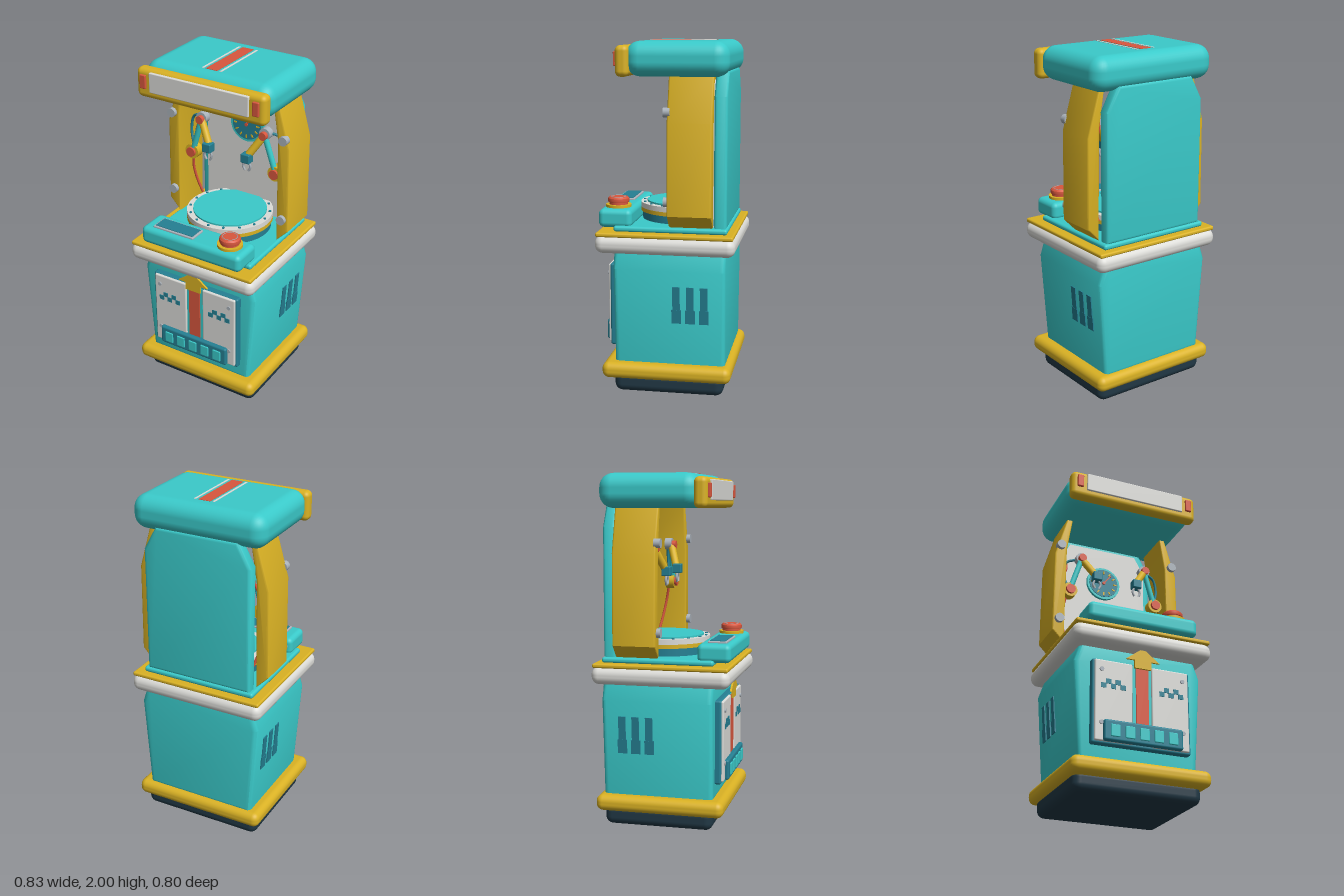
import * as THREE from 'three';
import { RoundedBoxGeometry } from 'three/addons/geometries/RoundedBoxGeometry.js';
import { toCreasedNormals } from 'three/addons/utils/BufferGeometryUtils.js';

const paint = (name, color) => {
  const m = new THREE.MeshStandardMaterial({ color });
  m.name = name;
  return m;
};

export function createModel() {
  const teal = paint('teal', 0x3acaca), yellow = paint('yellow', 0xdab224);
  const white = paint('off white', 0xdcdcd8), red = paint('red', 0xd9573e);
  const petrol = paint('dark teal', 0x258093), navy = paint('navy', 0x213845);
  const grey = paint('grey', 0xaab2ba);
  const root = new THREE.Group();
  root.name = 'arcadeCabinet';

  const add = (name, geo, mat, parent = root) => {
    const m = new THREE.Mesh(geo, mat);
    m.name = name;
    parent.add(m);
    return m;
  };
  // Box given by its extents; r rounds the edges
  const box = (name, mat, [x0, x1], [y0, y1], [z0, z1], r = 0, parent = root) => {
    const s = [x1 - x0, y1 - y0, z1 - z0];
    const g = r ? new RoundedBoxGeometry(...s, 4, r) : new THREE.BoxGeometry(...s);
    const m = add(name, g, mat, parent);
    m.position.set((x0 + x1) / 2, (y0 + y1) / 2, (z0 + z1) / 2);
    return m;
  };
  // Front outline extruded from z0 to z1 with a bevel inside the outline
  const slab = (name, mat, pts, z0, z1, b = 0, parent = root) => {
    const shape = new THREE.Shape(pts.map(p => new THREE.Vector2(...p)));
    const g = new THREE.ExtrudeGeometry(shape, {
      depth: z1 - z0 - 2 * b, bevelEnabled: b > 0, bevelThickness: b,
      bevelSize: b, bevelOffset: -b, bevelSegments: 3,
    });
    g.translate(0, 0, z0 + b);
    return add(name, toCreasedNormals(g, 0.6), mat, parent);
  };
  const mirrored = half => [...half, ...half.map(([x, y]) => [-x, y]).reverse()];
  // Upright disc, and disc facing the front
  const disc = (name, mat, r, x, z, y0, y1, parent = root) => {
    const m = add(name, new THREE.CylinderGeometry(r, r, y1 - y0, 40), mat, parent);
    m.position.set(x, (y0 + y1) / 2, z);
    return m;
  };
  const dial = (name, mat, r, x, y, z0, z1, parent = root) => {
    const m = add(name, new THREE.CylinderGeometry(r, r, z1 - z0, 28), mat, parent);
    m.rotation.x = Math.PI / 2;
    m.position.set(x, y, (z0 + z1) / 2);
    return m;
  };
  const rod = (name, mat, a, b, r, parent) => {
    const p = new THREE.Vector3(...a), d = new THREE.Vector3(...b).sub(p);
    const m = add(name, new THREE.CylinderGeometry(r, r, d.length(), 16), mat, parent);
    m.position.copy(p).addScaledVector(d, 0.5);
    m.quaternion.setFromUnitVectors(new THREE.Vector3(0, 1, 0), d.normalize());
    return m;
  };
  const cable = (name, mat, pts, r, parent) => add(name, new THREE.TubeGeometry(
    new THREE.CatmullRomCurve3(pts.map(p => new THREE.Vector3(...p))), 24, r, 8), mat, parent);

  // Plinth and lower cabinet
  box('foot', navy, [-0.37, 0.37], [0, 0.12], [-0.33, 0.3], 0.045);
  box('baseBumper', yellow, [-0.405, 0.405], [0.085, 0.178], [-0.375, 0.367], 0.04);
  slab('lowerCabinet', teal, mirrored([[0.34, 0.16], [0.38, 0.73], [0.343, 0.84]]), -0.34, 0.3, 0.03);
  box('counter', white, [-0.415, 0.415], [0.82, 0.92], [-0.395, 0.4], 0.045);
  box('counterPlate', yellow, [-0.405, 0.405], [0.915, 0.94], [-0.385, 0.392], 0.01);
  box('deckPlate', teal, [-0.35, 0.35], [0.938, 0.97], [-0.345, 0.3], 0.014);

  // Side vents, tilted with the cabinet wall
  for (const s of [-1, 1]) for (const z of [-0.063, -0.142, -0.22]) {
    const vent = new THREE.Group();
    vent.name = 'sideVent';
    vent.position.set(s * 0.3655, 0.53, z);
    vent.rotation.z = -s * 0.07;
    root.add(vent);
    box('slot', petrol, [-0.006, 0.006], [-0.105, 0.11], [-0.021, 0.021], 0, vent);
    box('slotFoot', petrol, [-0.007, 0.007], [-0.105, -0.025], [-0.027, 0.027], 0, vent);
  }

  // Front door
  box('doorFrame', petrol, [-0.29, 0.29], [0.255, 0.738], [0.28, 0.335], 0.012);
  box('doorColumn', teal, [-0.055, 0.055], [0.275, 0.73], [0.325, 0.339]);
  box('doorStripe', red, [-0.037, 0.037], [0.3, 0.73], [0.335, 0.345]);
  for (const s of [-1, 1]) {
    const panel = box('doorPanel', white, [-0.11, 0.11], [0.268, 0.732], [0.32, 0.347], 0.008);
    panel.position.x = s * 0.167;
    for (const y of [0.675, 0.37]) dial('doorBolt', grey, 0.012, s * 0.24, y, 0.34, 0.354);
    for (let i = 0; i < 5; i++) {
      const x = s * (0.115 + i * 0.0285), y = i % 2 ? 0.608 : 0.582;
      box('pixel', petrol, [x - 0.015, x + 0.015], [y - 0.014, y + 0.014], [0.345, 0.351]);
    }
  }
  slab('arrow', yellow, mirrored([[0.05, 0.71], [0.05, 0.757], [0.1, 0.757], [0.001, 0.832]]), 0.347, 0.358);
  box('keyBar', petrol, [-0.23, 0.23], [0.268, 0.385], [0.335, 0.37], 0.012);
  for (let i = -2; i <= 2; i++)
    box('key', teal, [i * 0.084 - 0.027, i * 0.084 + 0.027], [0.29, 0.358], [0.365, 0.377], 0.004);

  // Control deck with screen and push button
  box('controlDeck', teal, [-0.33, 0.33], [0.955, 1.06], [0.2, 0.392], 0.03);
  box('screenFrame', grey, [-0.264, 0.008], [1.05, 1.07], [0.25, 0.36], 0.006);
  box('screen', petrol, [-0.253, -0.003], [1.066, 1.073], [0.261, 0.349]);
  disc('buttonBase', yellow, 0.073, 0.215, 0.297, 1.055, 1.075);
  disc('buttonCollar', red, 0.054, 0.215, 0.297, 1.075, 1.09);
  const cap = [[0, 1.088], [0.06, 1.088], [0.062, 1.095], [0.06, 1.11], [0.052, 1.118], [0, 1.118]];
  const button = add('buttonCap', toCreasedNormals(new THREE.LatheGeometry(
    cap.map(p => new THREE.Vector2(...p)), 32), 0.6), red);
  button.position.set(0.215, 0, 0.297);
  const halo = add('buttonRing', new THREE.TorusGeometry(0.042, 0.002, 6, 32), grey);
  halo.rotation.x = Math.PI / 2;
  halo.position.set(0.215, 1.118, 0.297);

  // Turntable
  const cz = -0.05;
  disc('turntableBase', petrol, 0.245, 0, cz, 0.965, 1.02);
  disc('turntableBand', yellow, 0.255, 0, cz, 1.015, 1.038);
  disc('turntableRing', white, 0.255, 0, cz, 1.038, 1.068);
  disc('turntableTop', teal, 0.218, 0, cz, 1.06, 1.078);
  for (let i = 0; i < 16; i++) {
    const a = (i / 16) * Math.PI * 2;
    disc('turntableStud', petrol, 0.008, Math.cos(a) * 0.237, cz + Math.sin(a) * 0.237, 1.06, 1.073);
  }

  // Back shell and inner wall
  slab('backShell', teal, mirrored([[0.327, 0.965], [0.327, 1.7], [0.25, 1.84]]), -0.34, -0.265, 0.02);
  slab('backPanel', white, mirrored([[0.283, 0.97], [0.283, 1.67], [0.222, 1.785]]), -0.27, -0.252);

  // Gauge
  dial('gaugeRim', teal, 0.11, 0, 1.54, -0.255, -0.235);
  dial('gaugeFace', petrol, 0.095, 0, 1.54, -0.25, -0.231);
  for (let i = 0; i < 12; i++) {
    const a = (i / 12) * Math.PI * 2;
    const tick = add('gaugeTick', new THREE.BoxGeometry(0.02, 0.008, 0.006), yellow);
    tick.position.set(Math.cos(a) * 0.075, 1.54 + Math.sin(a) * 0.075, -0.23);
    tick.rotation.z = a;
  }
  const needle = add('gaugeNeedle', new THREE.BoxGeometry(0.085, 0.008, 0.006), red);
  needle.position.set(0.02, 1.565, -0.227);
  needle.rotation.z = 0.9;
  dial('gaugeHub', red, 0.01, 0, 1.54, -0.235, -0.223);

  // Side walls, arms and cables on each side
  for (const s of [-1, 1]) {
    const wall = [[0.333, 0.972], [0.405, 1.045], [0.4, 1.56], [0.325, 1.82], [0.29, 1.82], [0.325, 1.6]];
    slab('sideWall', yellow, wall.map(([x, y]) => [s * x, y]), -0.265, -0.015, 0.01);
    for (const y of [1.615, 1.12]) dial('wallBolt', grey, 0.027, s * 0.367, y, -0.03, 0.008);

    const arm = new THREE.Group();
    arm.name = s > 0 ? 'leftArm' : 'rightArm';
    root.add(arm);
    const shoulder = [s * 0.28, 1.36, -0.085], elbow = [s * 0.21, 1.585, -0.075];
    const wrist = [s * 0.135, 1.465, -0.03];
    rod('shoulderMount', grey, [s * 0.34, 1.36, -0.11], [s * 0.27, 1.36, -0.11], 0.018, arm);
    dial('shoulderRing', yellow, 0.045, s * 0.28, 1.36, -0.12, -0.07, arm);
    dial('shoulderCap', red, 0.029, s * 0.28, 1.36, -0.1, -0.055, arm);
    rod('upperArm', teal, shoulder, elbow, 0.017, arm);
    dial('elbowRing', grey, 0.035, s * 0.21, 1.59, -0.11, -0.07, arm);
    dial('elbowCap', red, 0.024, s * 0.21, 1.585, -0.09, -0.045, arm);
    rod('foreArm', yellow, elbow, wrist, 0.022, arm);
    box('gripper', petrol, [s * 0.13 - 0.028, s * 0.13 + 0.028], [1.42, 1.475], [-0.045, 0.008], 0.006, arm);
    for (const f of [-1, 1]) cable('finger', grey, [[s * 0.13 + f * 0.014, 1.425, -0.018],
      [s * 0.13 + f * 0.024, 1.395, -0.018], [s * 0.13 + f * 0.012, 1.368, -0.018]], 0.007, arm);
    cable('armHose', petrol, [[s * 0.21, 1.595, -0.1], [s * 0.29, 1.57, -0.12],
      [s * 0.31, 1.48, -0.12], [s * 0.28, 1.38, -0.1]], 0.008, arm);
    cable('upperCable', red, [[s * 0.29, 1.66, -0.19], [s * 0.27, 1.58, -0.18],
      [s * 0.3, 1.47, -0.16], [s * 0.285, 1.36, -0.12]], 0.008, arm);
    cable('lowerCable', red, [[s * 0.29, 1.34, -0.11], [s * 0.307, 1.24, -0.13],
      [s * 0.295, 1.14, -0.15], [s * 0.27, 1.05, -0.17]], 0.008, arm);
  }

  // Roof, roof stripes and sign
  box('roof', teal, [-0.402, 0.402], [1.805, 1.998], [-0.352, 0.222], 0.08);
  box('roofStripe', red, [-0.037, 0.035], [1.993, 2], [-0.24, 0.14]);
  for (const s of [-1, 1])
    box('roofTrim', white, [s * 0.056 - 0.006, s * 0.056 + 0.006], [1.993, 2], [-0.24, 0.14]);
  box('signFrame', yellow, [-0.405, 0.405], [1.805, 1.975], [0.195, 0.272], 0.03);
  box('signPanel', white, [-0.312, 0.312], [1.848, 1.962], [0.262, 0.283], 0.005);
  for (const s of [-1, 1])
    box('signLamp', red, [s * 0.354 - 0.019, s * 0.354 + 0.019], [1.863, 1.942], [0.262, 0.285], 0.005);

  return root;
}
